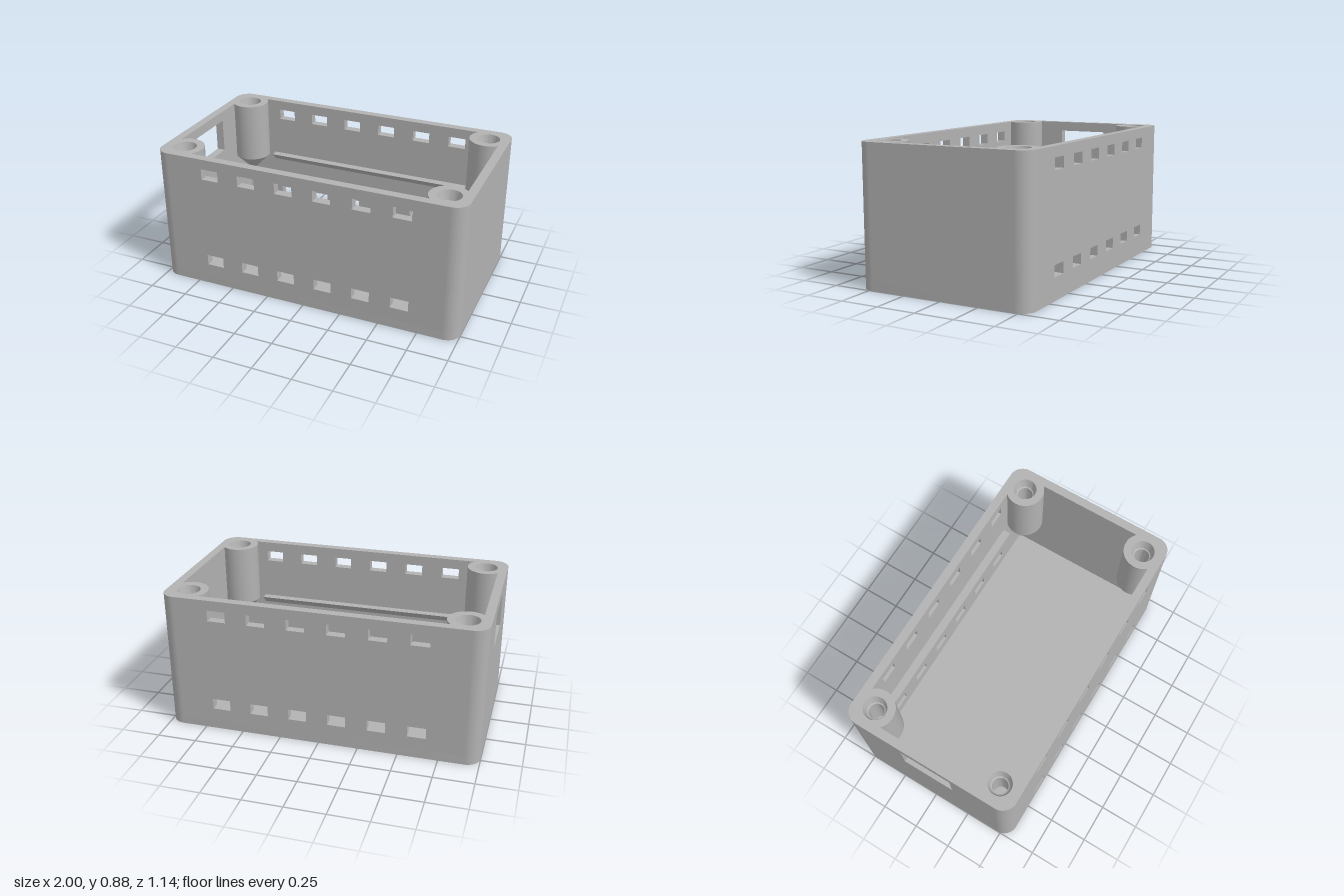
import * as THREE from 'three';
import { toCreasedNormals } from 'three/addons/utils/BufferGeometryUtils.js';

const W = 1, D = 0.57, H = 0.885;      // half width, half depth, height
const T = 0.055, R = 0.09;             // wall thickness, corner radius
const CX = W - R, CZ = D - R;          // corner arc centres
const LEDGE = 0.485;                   // height of the rails and post shoulders

const grey = new THREE.MeshStandardMaterial({ color: 0xb2b2b2 });
grey.name = 'grey plastic';

const rect = (Type, x0, y0, x1, y1) => {
  const s = new Type();
  s.moveTo(x0, y0);
  s.lineTo(x1, y0);
  s.lineTo(x1, y1);
  s.lineTo(x0, y1);
  s.closePath();
  return s;
};

const extrude = (shape, depth) =>
  new THREE.ExtrudeGeometry(shape, { depth, bevelEnabled: false, curveSegments: 12 });

export function createModel() {
  const group = new THREE.Group();
  group.name = 'enclosure';
  const add = (name, geometry, x = 0, y = 0, z = 0) => {
    const mesh = new THREE.Mesh(geometry, grey);
    mesh.name = name;
    mesh.position.set(x, y, z);
    group.add(mesh);
  };

  // floor plate with rounded corners
  const floor = new THREE.Shape();
  floor.absarc(CX, CZ, R, 0, Math.PI / 2);
  floor.absarc(-CX, CZ, R, Math.PI / 2, Math.PI);
  floor.absarc(-CX, -CZ, R, Math.PI, Math.PI * 1.5);
  floor.absarc(CX, -CZ, R, Math.PI * 1.5, Math.PI * 2);
  add('floor', toCreasedNormals(extrude(floor, T).rotateX(-Math.PI / 2), 0.5));

  // long walls with two rows of vent slots
  const longWall = rect(THREE.Shape, -CX, T, CX, H);
  for (const y of [0.14, 0.75]) {
    for (let i = 0; i < 6; i++) {
      const x = -0.673 + i * 0.25;
      longWall.holes.push(rect(THREE.Path, x, y, x + 0.115, y + 0.07));
    }
  }
  add('frontWall', extrude(longWall, T), 0, 0, D - T);
  add('backWall', extrude(longWall, T), 0, 0, -D);

  // short walls, the right one with a connector window
  const leftWall = rect(THREE.Shape, -CZ, T, CZ, H);
  const rightWall = rect(THREE.Shape, -CZ, T, CZ, H);
  rightWall.holes.push(rect(THREE.Path, -0.17, 0.6, 0.17, 0.82));
  add('leftWall', extrude(leftWall, T).rotateY(Math.PI / 2), W - T);
  add('rightWall', extrude(rightWall, T).rotateY(Math.PI / 2), -W);

  // screw post: cone foot, cylinder, tapered mouth and blind hole
  const profile = [
    [0, 0.36], [0.123, LEDGE], [0.123, H], [0.073, H],
    [0.056, H - 0.06], [0.048, H - 0.065], [0.047, 0.56], [0, 0.56],
  ].map(([r, y]) => new THREE.Vector2(r, y));
  const post = toCreasedNormals(new THREE.LatheGeometry(profile, 40), 0.5);

  // four rounded wall corners, each with its post
  [[1, 1], [-1, 1], [-1, -1], [1, -1]].forEach(([sx, sy], k) => {
    const a = k * Math.PI / 2, b = a + Math.PI / 2;
    const s = new THREE.Shape();
    s.absarc(sx * CX, sy * CZ, R, a, b, false);
    s.absarc(sx * CX, sy * CZ, R - T, b, a, true);
    s.closePath();
    const corner = extrude(s, H - T).rotateX(-Math.PI / 2);
    add('wallCorner', toCreasedNormals(corner, 0.5), 0, T, 0);
    add('screwPost', post, sx * 0.863, 0, -sy * 0.433);
  });

  // inner support rails: flat top, sloped underside
  const rail = new THREE.Shape();
  rail.moveTo(0, LEDGE - 0.053);
  rail.lineTo(0.053, LEDGE);
  rail.lineTo(0, LEDGE);
  rail.closePath();
  const length = 1.438;
  add('backRail', extrude(rail, length).rotateY(-Math.PI / 2), length / 2, 0, -D + T);
  add('frontRail', extrude(rail, length).rotateY(Math.PI / 2), -length / 2, 0, D - T);

  return group;
}
